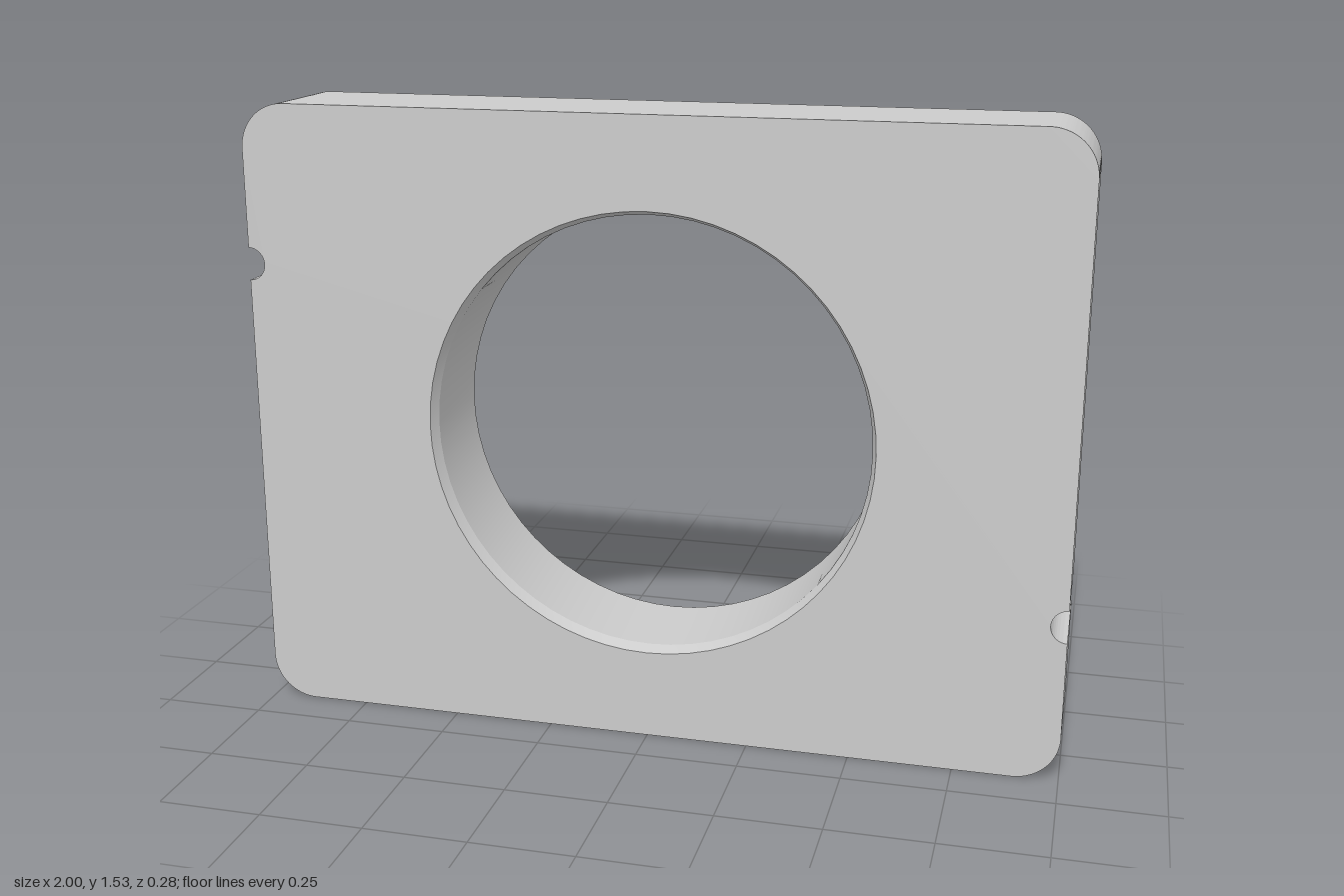
import * as THREE from 'three';
import { toCreasedNormals } from 'three/addons/utils/BufferGeometryUtils.js';

const HEIGHT = 1.53, DEPTH = 0.28, CORNER = 0.11;
const NOTCH = 0.04, NOTCH_Y = 0.39;
const BORE = 0.533, BORE_FRONT = 0.545, CHAMFER = 0.03;

// Rounded rectangle with a half-round notch in each side and a central bore
function plateShape() {
  const q = Math.PI / 2, x = 1 - CORNER, y = HEIGHT - CORNER;
  const shape = new THREE.Shape();
  shape.absarc(x, CORNER, CORNER, -q, 0, false);
  shape.absarc(1, NOTCH_Y, NOTCH, -q, q, true);
  shape.absarc(x, y, CORNER, 0, q, false);
  shape.absarc(-x, y, CORNER, q, 2 * q, false);
  shape.absarc(-1, HEIGHT - NOTCH_Y, NOTCH, q, -q, true);
  shape.absarc(-x, CORNER, CORNER, 2 * q, 3 * q, false);
  shape.closePath();
  const bore = new THREE.Path();
  bore.absarc(0, HEIGHT / 2, BORE, 0, Math.PI * 2, true);
  shape.holes.push(bore);
  return shape;
}

export function createModel() {
  const geometry = new THREE.ExtrudeGeometry(plateShape(), {
    depth: DEPTH, steps: 2, bevelEnabled: false, curveSegments: 32,
  });
  geometry.translate(0, 0, -DEPTH / 2);

  // Chamfer the bore: pull the middle ring forward and widen the front ring
  const p = geometry.attributes.position;
  const front = DEPTH / 2;
  for (let i = 0; i < p.count; i++) {
    const x = p.getX(i), dy = p.getY(i) - HEIGHT / 2, z = p.getZ(i);
    if (Math.abs(z) < 0.01) p.setZ(i, front - CHAMFER);
    if (z > front - 0.01 && Math.hypot(x, dy) < BORE + 0.005) {
      const s = BORE_FRONT / BORE;
      p.setXY(i, x * s, HEIGHT / 2 + dy * s);
    }
  }

  const plate = new THREE.Mesh(
    toCreasedNormals(geometry, 0.25),
    new THREE.MeshStandardMaterial({ color: 0xcccccc }),
  );
  plate.name = 'notchedPlate';
  const group = new THREE.Group();
  group.name = 'boredPlate';
  group.add(plate);
  return group;
}
